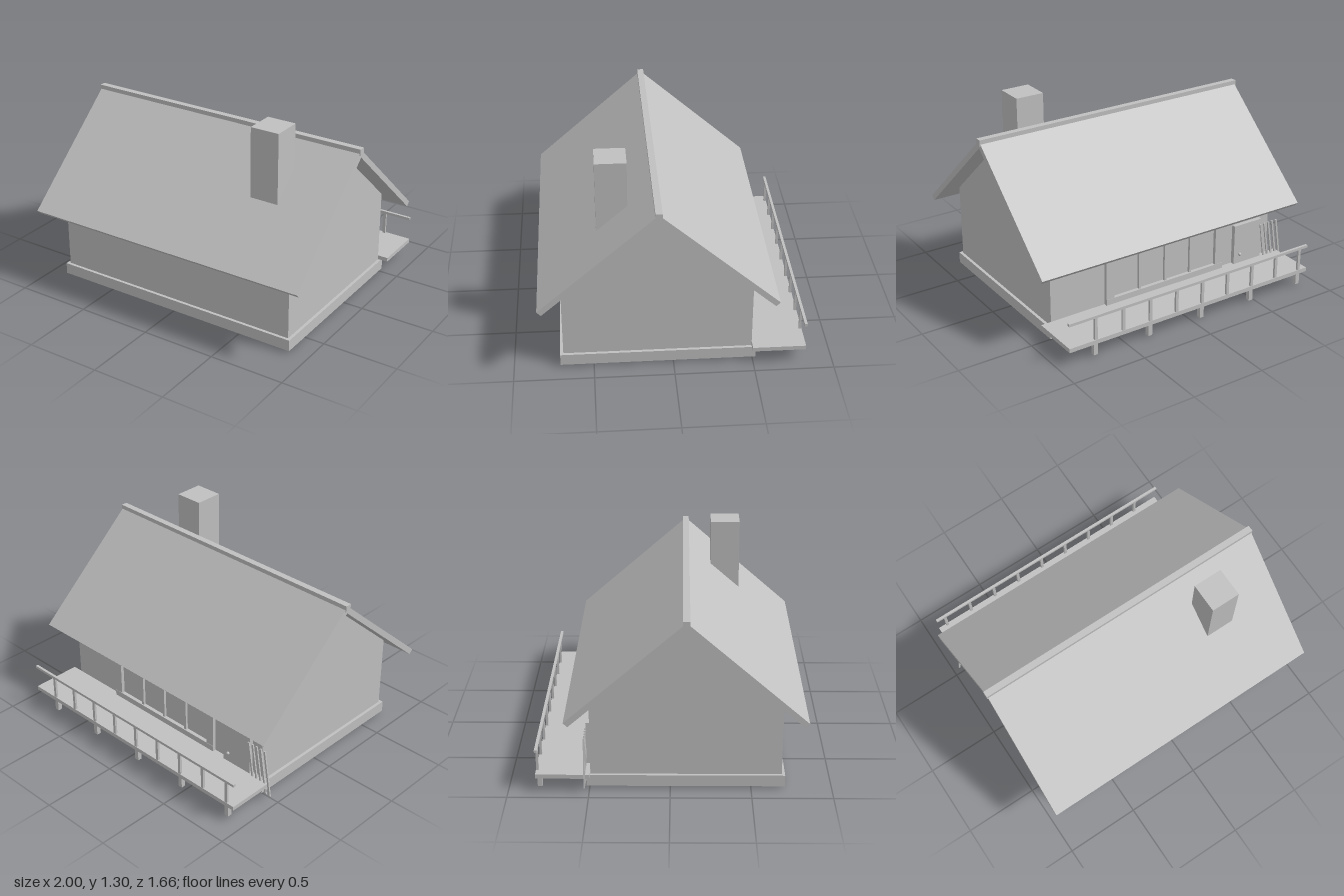
import * as THREE from 'three';

const grey = new THREE.MeshStandardMaterial({ color: 0xc0c0c0 });
grey.name = 'grey';

const RIDGE_Z = 0.097;

// Box given by its extents on each axis
function box(name, [x0, x1], [y0, y1], [z0, z1]) {
  const mesh = new THREE.Mesh(new THREE.BoxGeometry(x1 - x0, y1 - y0, z1 - z0), grey);
  mesh.position.set((x0 + x1) / 2, (y0 + y1) / 2, (z0 + z1) / 2);
  mesh.name = name;
  return mesh;
}

// Prism with a [z, y] outline, running along x
function prism(name, outline, x0, x1) {
  const shape = new THREE.Shape(outline.map(([z, y]) => new THREE.Vector2(-z, y)));
  const geo = new THREE.ExtrudeGeometry(shape, { depth: x1 - x0, bevelEnabled: false });
  geo.rotateY(Math.PI / 2).translate(x0, 0, 0);
  const mesh = new THREE.Mesh(geo, grey);
  mesh.name = name;
  return mesh;
}

function group(name, parts) {
  const g = new THREE.Group();
  g.name = name;
  g.add(...parts);
  return g;
}

export function createModel() {
  const model = new THREE.Group();
  model.name = 'cabin';

  // Body
  model.add(
    box('foundation', [-0.88, 0.875], [0.015, 0.09], [-0.52, 0.71]),
    box('walls', [-0.86, 0.855], [0.09, 0.607], [-0.495, 0.69]),
    prism('gable', [[0.69, 0.607], [RIDGE_Z, 1.118], [-0.495, 0.607]], -0.86, 0.855),
  );

  // Roof: two sloping slabs, ridge beam and chimney
  const slope = (side) => [
    [RIDGE_Z, 1.155], [RIDGE_Z + side * 0.738, 0.507],
    [RIDGE_Z + side * 0.712, 0.48], [RIDGE_Z, 1.105],
  ];
  model.add(group('roof', [
    prism('frontSlope', slope(1), -0.993, 0.99),
    prism('backSlope', slope(-1), -0.993, 0.99),
    box('ridgeBeam', [-1, 0.995], [1.123, 1.165], [0.076, 0.118]),
  ]));
  model.add(box('chimney', [0.43, 0.625], [0.75, 1.303], [0.265, 0.46]));

  // Back deck with rail, posts and feet
  const deck = [
    box('deckFloor', [-0.93, 0.925], [0.092, 0.12], [-0.83, -0.495]),
    box('handrail', [-0.93, 0.925], [0.27, 0.288], [-0.83, -0.812]),
  ];
  for (let i = 0; i < 9; i++) {
    const x = -0.865 + i * 0.2;
    deck.push(box('railPost', [x - 0.01, x + 0.01], [0.12, 0.272], [-0.828, -0.813]));
    if (i % 2 === 0) deck.push(box('deckFoot', [x - 0.015, x + 0.015], [0.012, 0.094], [-0.822, -0.792]));
  }
  model.add(group('deck', deck));

  // Long window on the back wall
  const win = [
    box('windowHead', [-0.46, 0.46], [0.535, 0.56], [-0.525, -0.49]),
    box('windowSill', [-0.46, 0.46], [0.12, 0.16], [-0.52, -0.49]),
  ];
  for (const s of [-1, 1]) {
    win.push(box('windowJamb', [s * 0.43 - 0.03, s * 0.43 + 0.03], [0.12, 0.56], [-0.518, -0.49]));
  }
  for (const x of [-0.2, 0, 0.2]) {
    win.push(box('mullion', [x - 0.008, x + 0.008], [0.15, 0.54], [-0.512, -0.49]));
  }
  model.add(group('window', win));

  // Door, knob and low step
  const knob = new THREE.Mesh(new THREE.SphereGeometry(0.011, 16, 12), grey);
  knob.name = 'doorKnob';
  knob.position.set(-0.6, 0.185, -0.53);
  model.add(group('door', [
    box('doorLeaf', [-0.78, -0.555], [0, 0.4], [-0.524, -0.49]),
    knob,
    box('step', [-0.78, -0.555], [0.015, 0.03], [-0.612, -0.5]),
  ]));

  // Slats leaning beside the door
  const slats = [];
  for (let i = 0; i < 5; i++) {
    const slat = new THREE.Mesh(new THREE.BoxGeometry(0.013, 0.325, 0.01), grey);
    slat.name = 'slat';
    slat.position.set(-0.93 + i * 0.033, 0.2, -0.527);
    slat.rotation.z = -0.155;
    slats.push(slat);
  }
  model.add(group('leaningSlats', slats));

  return model;
}
